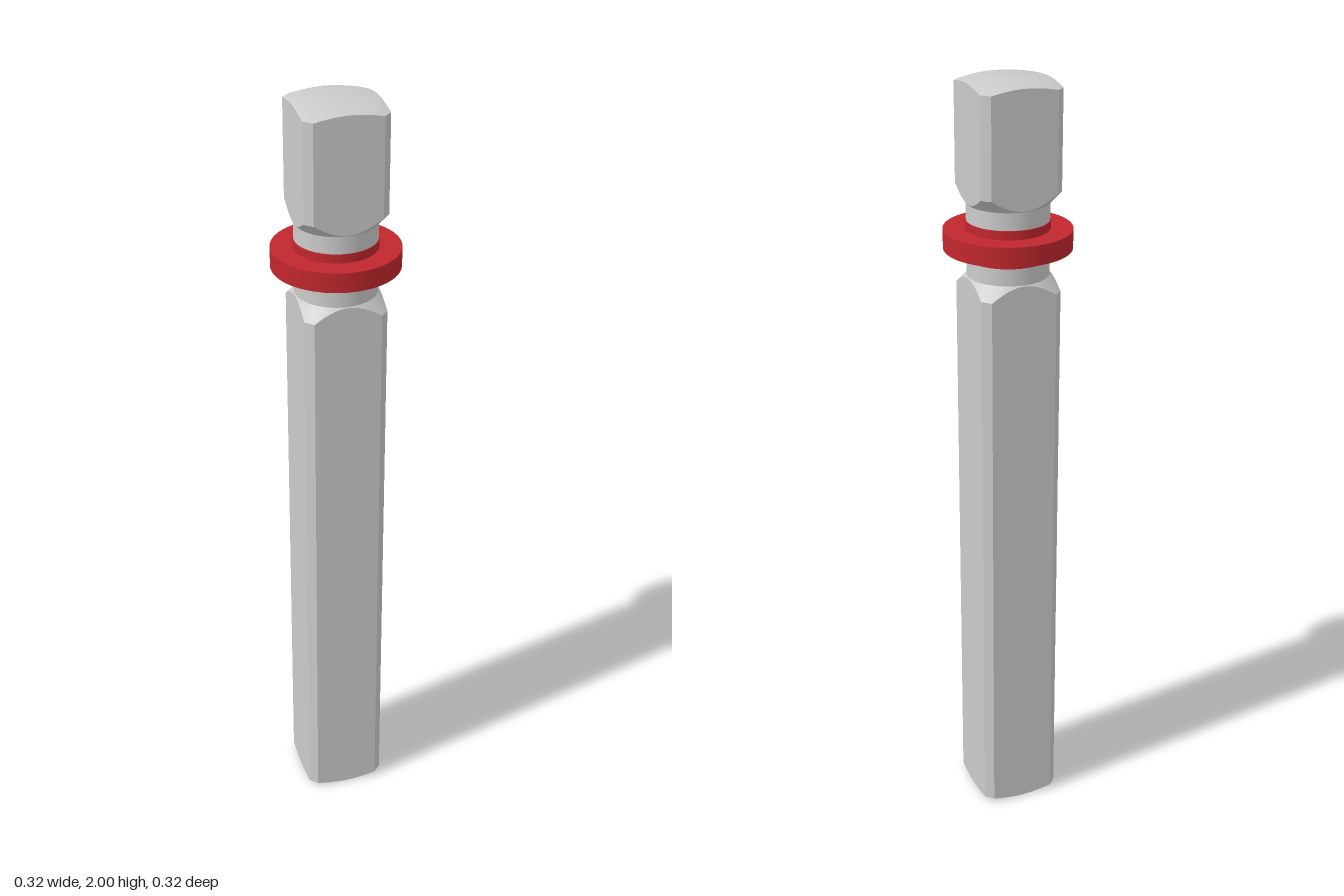
import * as THREE from 'three';
import { toCreasedNormals } from 'three/addons/utils/BufferGeometryUtils.js';

const HALF = 0.105;   // half width across the flats
const FLAT = 0.085;   // half length of each flat, before the corner bevel
const NECK = 0.103;   // neck radius

// Outline of a square with bevelled corners, each edge subdivided
function outline() {
  const corners = [];
  for (let k = 0; k < 4; k++) {
    const c = [1, 0, -1, 0][k], s = [0, 1, 0, -1][k];
    for (const t of [-FLAT, FLAT]) corners.push([HALF * c - t * s, HALF * s + t * c]);
  }
  const pts = [];
  corners.forEach(([x, z], i) => {
    const [x2, z2] = corners[(i + 1) % 8], n = i % 2 ? 4 : 16;
    for (let j = 0; j < n; j++) pts.push([x + (x2 - x) * j / n, z + (z2 - z) * j / n]);
  });
  return pts;
}

// Skins rings from bottom to top; a ring maps the outline radius to [radius, y]
function barGeometry(rings) {
  const pts = outline(), pos = [];
  const at = (ring, [x, z]) => {
    const R = Math.hypot(x, z), [r, y] = ring(R);
    return [x / R * r, y, z / R * r];
  };
  for (let i = 0; i < rings.length - 1; i++) {
    pts.forEach((p, j) => {
      const q = pts[(j + 1) % pts.length];
      const a = at(rings[i], p), b = at(rings[i], q);
      const c = at(rings[i + 1], p), d = at(rings[i + 1], q);
      if (rings[i + 1](1)[0] > 0) pos.push(...b, ...c, ...d);
      if (rings[i](1)[0] > 0) pos.push(...a, ...c, ...b);
    });
  }
  const g = new THREE.BufferGeometry();
  g.setAttribute('position', new THREE.Float32BufferAttribute(pos, 3));
  return toCreasedNormals(g, 0.5);
}

// Square bar with a gently turned outer end and a conical end at the neck
function barRings(endY, neckY) {
  const dir = Math.sign(neckY - endY);
  const rings = [
    () => [0, endY],
    () => [0.1, endY],
    R => [R, endY + dir * (R - 0.1) * 0.34],
    R => [R, neckY - dir * (R - NECK) * 1.1],
    () => [NECK, neckY],
    () => [0, neckY],
  ];
  return dir > 0 ? rings : rings.reverse();
}

export function createModel() {
  const model = new THREE.Group();
  const grey = new THREE.MeshStandardMaterial({ color: 0xcccccc });
  const red = new THREE.MeshStandardMaterial({ color: 0xc1272d });
  const add = (name, geometry, material, y = 0) => {
    const mesh = new THREE.Mesh(geometry, material);
    mesh.name = name;
    mesh.position.y = y;
    model.add(mesh);
  };
  const disc = (r, h) => new THREE.CylinderGeometry(r, r, h, 96);

  // Long shank and short drive end
  add('shank', barGeometry(barRings(0, 1.522)), grey);
  add('driveEnd', barGeometry(barRings(2, 1.705)), grey);
  // Round neck joining them
  add('neck', disc(NECK, 0.183), grey, 1.6135);
  // Red collar: narrow sleeve with a wide flange
  add('collarSleeve', disc(0.105, 0.095), red, 1.6135);
  add('collarFlange', disc(0.16, 0.05), red, 1.6135);
  return model;
}
